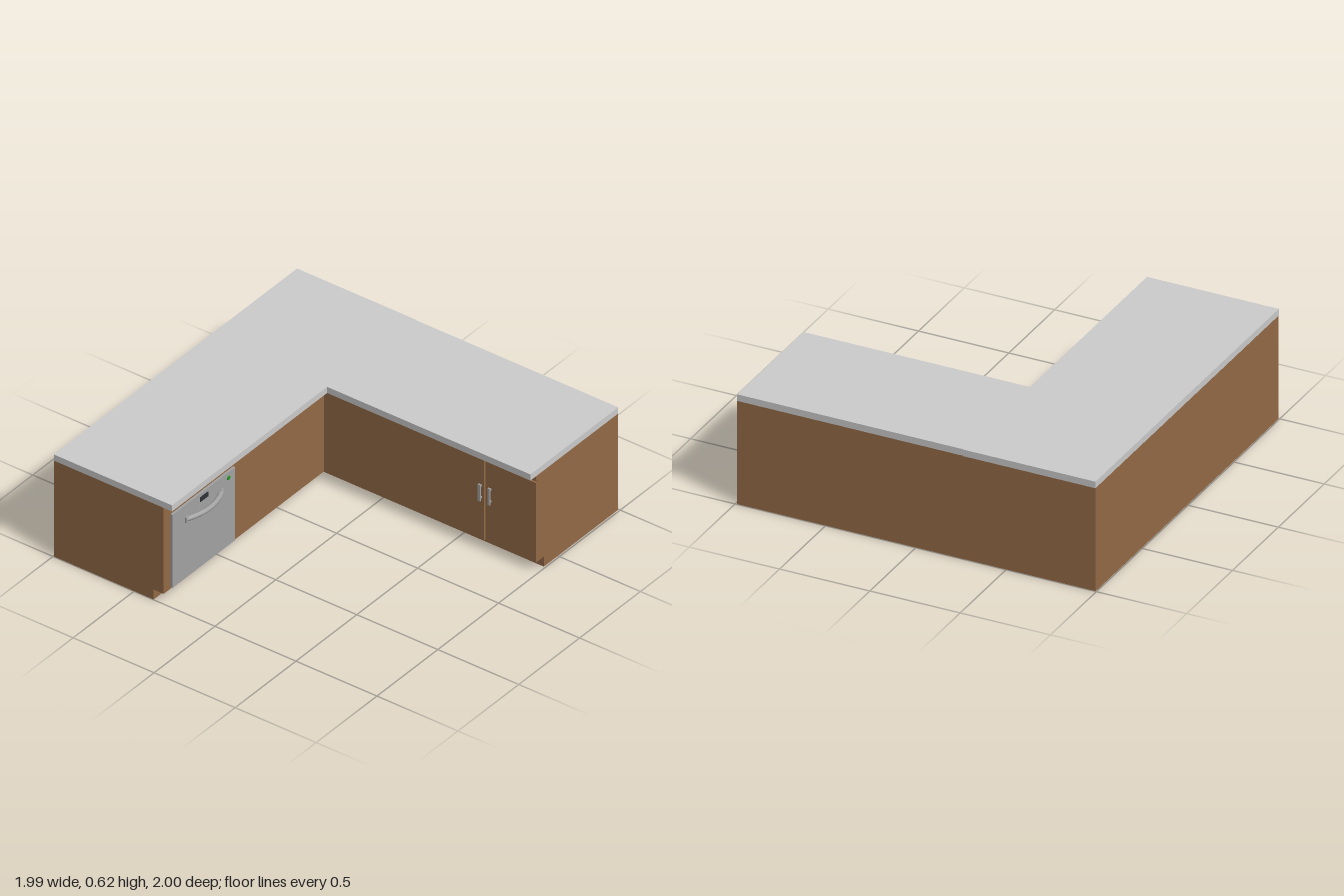
import * as THREE from 'three';

const material = (color) => new THREE.MeshStandardMaterial({ color });

export function createModel() {
  const group = new THREE.Group();
  const wood = material(0x946a46);
  const stone = material(0xcccccc);
  const steel = material(0xa2a2a2);
  const dark = material(0x303236);
  const green = material(0x1f9a1f);

  const add = (name, geometry, mat, parent = group) => {
    const mesh = new THREE.Mesh(geometry, mat);
    mesh.name = name;
    parent.add(mesh);
    return mesh;
  };

  // Box from its lower and upper corners
  const box = (name, [x0, y0, z0], [x1, y1, z1], mat, parent) =>
    add(name, new THREE.BoxGeometry(x1 - x0, y1 - y0, z1 - z0)
      .translate((x0 + x1) / 2, (y0 + y1) / 2, (z0 + z1) / 2), mat, parent);

  // Floor-plan outline of [x, z] points raised between two heights
  const slab = (name, plan, y0, y1, mat) => {
    const shape = new THREE.Shape(plan.map(([x, z]) => new THREE.Vector2(x, -z)));
    const geometry = new THREE.ExtrudeGeometry(shape, { depth: y1 - y0, bevelEnabled: false });
    add(name, geometry.rotateX(-Math.PI / 2).translate(0, y0, 0), mat);
  };

  // L-shaped plinth, cabinets and worktop
  const L = -0.995, R = 0.99, B = -0.997, F = 0.998;
  slab('plinth', [[L, B], [R, B], [R, -0.385], [-0.38, -0.385], [-0.38, F], [L, F]], 0, 0.06, wood);
  slab('cabinetBody', [[L, B], [R, B], [R, -0.332], [0.37, -0.332], [0.37, -0.32],
    [-0.318, -0.32], [-0.318, F], [L, F]], 0.06, 0.58, wood);
  slab('worktop', [[L, -1], [-0.265, -1], [-0.265, B], [R, B], [R, -0.275],
    [-0.265, -0.275], [-0.265, 1], [L, 1]], 0.58, 0.617, stone);

  // Cupboard doors with narrow gaps around them
  box('topRail', [0.37, 0.55, -0.332], [R, 0.58, -0.32], wood);
  box('leftDoor', [0.37, 0.06, -0.332], [0.67, 0.54, -0.32], wood);
  box('rightDoor', [0.69, 0.06, -0.332], [R, 0.54, -0.32], wood);

  // Door handles: upright bar on two posts
  for (const x of [0.652, 0.712]) {
    const handle = new THREE.Group();
    handle.name = 'doorHandle';
    group.add(handle);
    box('handleBar', [x - 0.007, 0.3, -0.309], [x + 0.007, 0.4, -0.3], steel, handle);
    for (const y of [0.315, 0.385])
      box('handlePost', [x - 0.004, y - 0.005, -0.322], [x + 0.004, y + 0.005, -0.308], steel, handle);
  }

  // Dishwasher front with display and lamp
  const dishwasher = new THREE.Group();
  dishwasher.name = 'dishwasher';
  group.add(dishwasher);
  box('dishwasherDoor', [-0.32, 0.07, 0.427], [-0.305, 0.51, 0.942], steel, dishwasher);
  box('display', [-0.306, 0.463, 0.652], [-0.301, 0.49, 0.716], dark, dishwasher);
  add('lamp', new THREE.CylinderGeometry(0.011, 0.011, 0.005, 20).rotateZ(Math.PI / 2), green, dishwasher)
    .position.set(-0.3035, 0.477, 0.483);

  // Bowed dishwasher handle
  const bow = new THREE.QuadraticBezierCurve3(
    new THREE.Vector3(-0.305, 0.424, 0.54),
    new THREE.Vector3(-0.235, 0.424, 0.685),
    new THREE.Vector3(-0.305, 0.424, 0.83));
  add('dishwasherHandle', new THREE.TubeGeometry(bow, 24, 0.014, 12), steel, dishwasher);
  for (const z of [0.54, 0.83])
    box('handleFoot', [-0.306, 0.408, z - 0.012], [-0.295, 0.44, z + 0.012], steel, dishwasher);

  return group;
}
